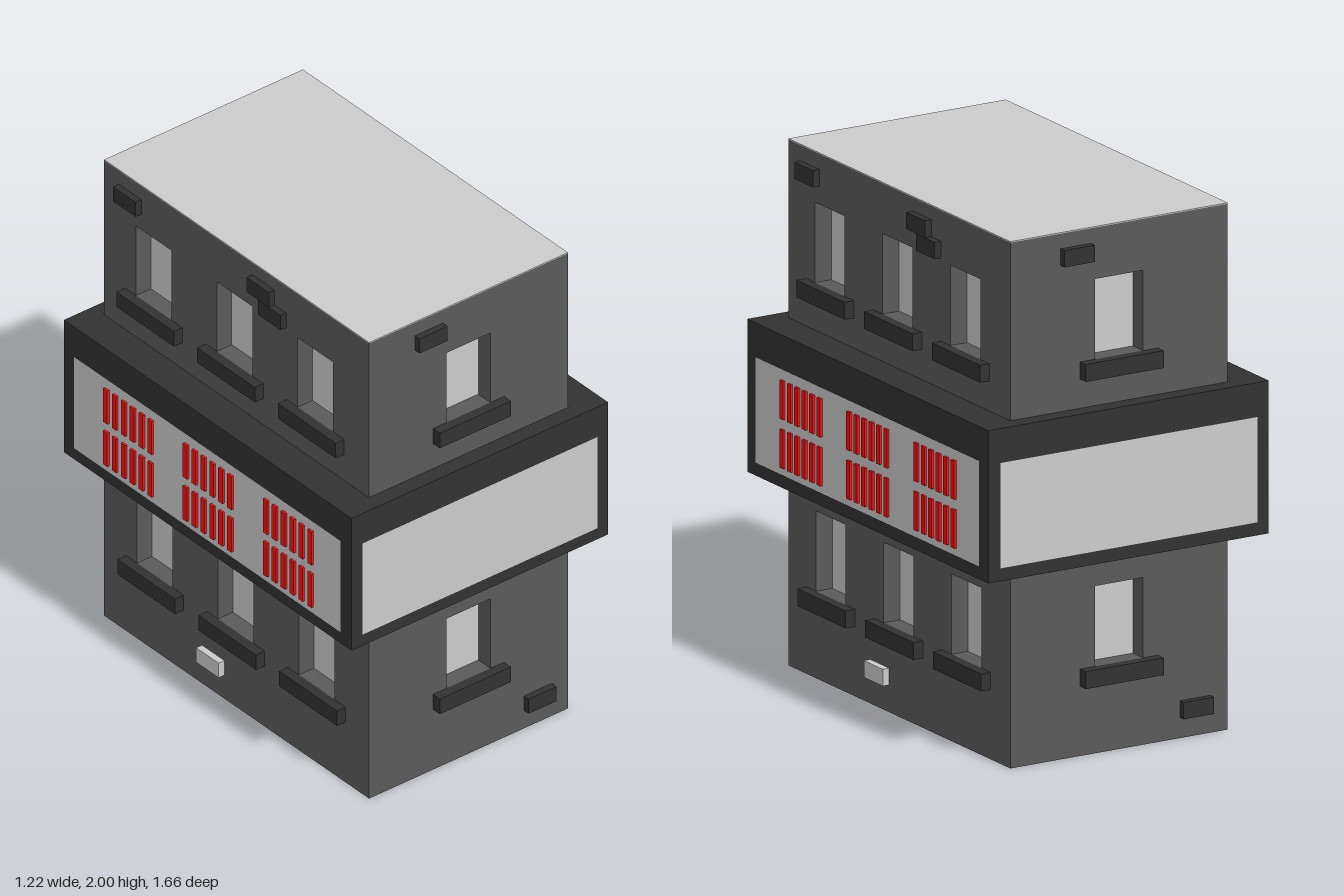
import * as THREE from 'three';

const W = 0.93, D = 1.53, H = 2;           // tower width, depth, height
const BW = 1.2, BD = 1.66;                 // sign band width and depth
const REVEAL = 0.07, SLAB = 0.004;         // window recess, roof/floor thickness
const WIN_W = 0.205, WIN_H = 0.305, SILL_W = 0.333, SILL_H = 0.066;

const mat = (color) => new THREE.MeshStandardMaterial({ color });
const light = mat(0xcccccc), wallGrey = mat(0x5a5a5a), trim = mat(0x323232), red = mat(0xf81010);

function box(name, material, w, h, d, x, y, z) {
  const mesh = new THREE.Mesh(new THREE.BoxGeometry(w, h, d), material);
  mesh.name = name;
  mesh.position.set(x, y, z);
  return mesh;
}

// One side of the building, drawn facing +z with its outer wall surface at z = 0.
// windows: [centre, bottom], bricks: [centre x, centre y, material]
function facade(name, wallWidth, windows, bricks) {
  const g = new THREE.Group();
  g.name = name;
  const w = wallWidth / 2;
  const shape = new THREE.Shape([
    new THREE.Vector2(-w, SLAB), new THREE.Vector2(w, SLAB),
    new THREE.Vector2(w, H - SLAB), new THREE.Vector2(-w, H - SLAB),
  ]);
  for (const [x, y] of windows) {
    const a = x - WIN_W / 2, b = x + WIN_W / 2;
    shape.holes.push(new THREE.Path([
      new THREE.Vector2(a, y), new THREE.Vector2(a, y + WIN_H),
      new THREE.Vector2(b, y + WIN_H), new THREE.Vector2(b, y),
    ]));
    g.add(box('windowSill', trim, SILL_W, SILL_H, 0.04, x, y - SILL_H / 2, 0.02));
  }
  const wall = new THREE.Mesh(
    new THREE.ExtrudeGeometry(shape, { depth: REVEAL, bevelEnabled: false }), wallGrey);
  wall.name = 'wall';
  wall.position.z = -REVEAL;
  g.add(wall);
  for (const [x, y, m] of bricks) g.add(box('brick', m, 0.13, 0.064, 0.027, x, y, 0.0135));
  return g;
}

function signPanel(width) {
  const panel = new THREE.Mesh(new THREE.PlaneGeometry(width, 0.4), light);
  panel.name = 'signPanel';
  panel.position.y = 0.99;
  return panel;
}

// Front and right side together; the other half is the same turned by 180 degrees
function half(name) {
  const g = new THREE.Group();
  g.name = name;

  const front = facade('shortSide', W, [[0, 0.33], [0, 1.496]],
    [[-0.185, 1.907, trim], [0.325, 0.11, trim]]);
  front.position.z = D / 2;

  const sideWindows = [];
  for (const x of [-0.467, 0, 0.467]) sideWindows.push([x - 0.005, 0.33], [x - 0.012, 1.5]);
  const side = facade('longSide', D - 2 * REVEAL, sideWindows, [
    [-0.615, 1.905, trim], [0.155, 1.912, trim], [0.222, 1.847, trim], [-0.135, 0.135, light],
  ]);
  side.rotation.y = Math.PI / 2;
  side.position.x = W / 2;

  const frontSign = signPanel(1.1);
  frontSign.position.z = BD / 2 + 0.002;

  // Long sign with three groups of two rows of red bars
  const sideSign = new THREE.Group();
  sideSign.name = 'longSign';
  sideSign.rotation.y = Math.PI / 2;
  sideSign.position.x = BW / 2 + 0.002;
  sideSign.add(signPanel(1.54));
  for (const start of [-0.578, -0.118, 0.345])
    for (const y of [0.892, 1.078])
      for (let i = 0; i < 6; i++)
        sideSign.add(box('redBar', red, 0.024, 0.146, 0.01, start + i * 0.0513, y, 0.005));

  g.add(front, side, frontSign, sideSign);
  return g;
}

export function createModel() {
  const model = new THREE.Group();
  model.name = 'building';

  // Light core shows through the window openings as panes
  model.add(box('windowPanes', light, W - 2 * REVEAL, H - 2 * SLAB, D - 2 * REVEAL, 0, H / 2, 0));
  model.add(box('roof', light, W, SLAB, D, 0, H - SLAB / 2, 0));
  model.add(box('floor', wallGrey, W, SLAB, D, 0, SLAB / 2, 0));
  model.add(box('signBand', trim, BW, 0.58, BD, 0, 1.03, 0));

  const back = half('backAndLeft');
  back.rotation.y = Math.PI;
  model.add(half('frontAndRight'), back);
  return model;
}
